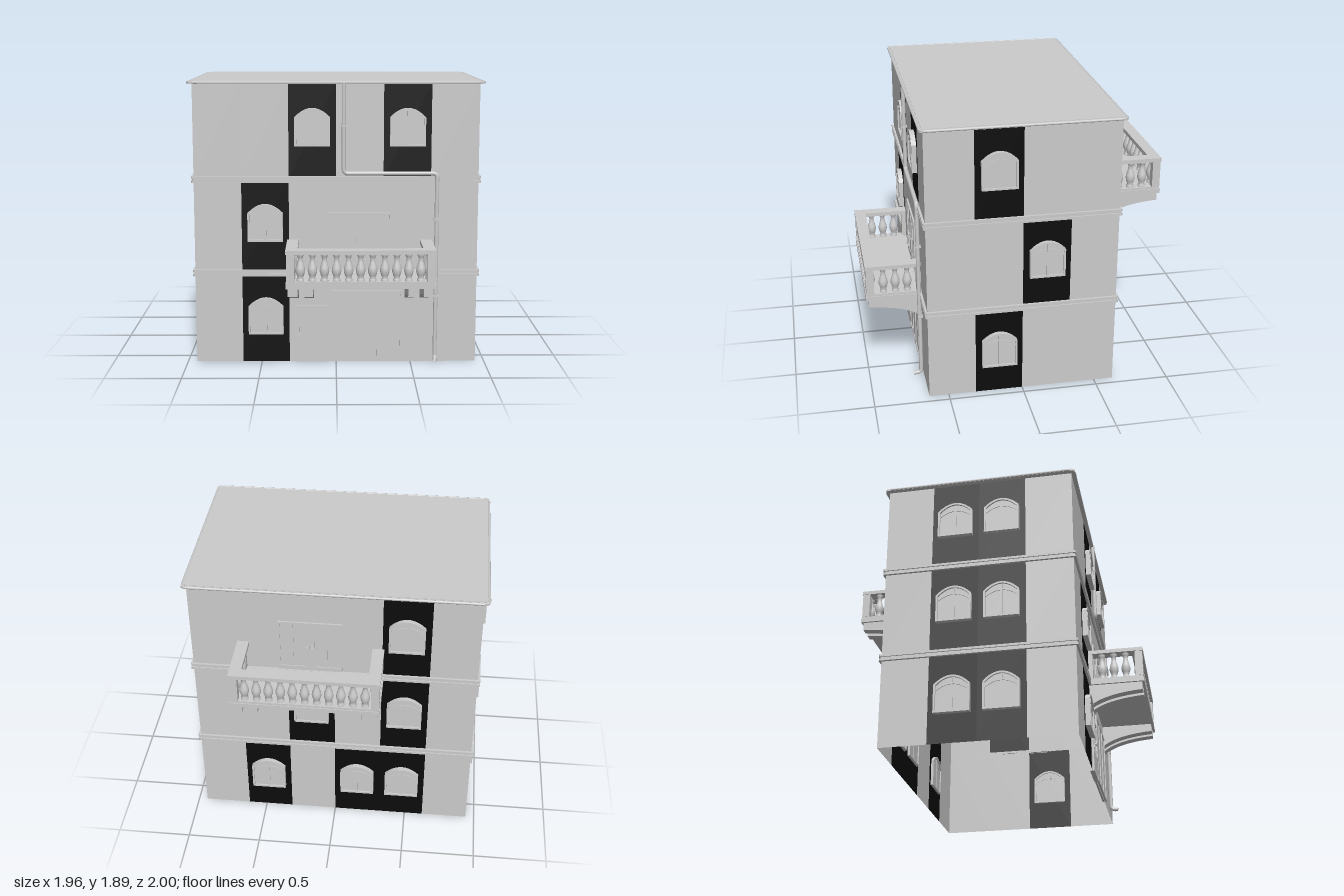
import * as THREE from 'three';

const grey = new THREE.MeshStandardMaterial({ color: 0xcccccc });
const greyWall = new THREE.MeshStandardMaterial({ color: 0xcccccc, side: THREE.DoubleSide });
const blackWall = new THREE.MeshStandardMaterial({ color: 0x0c0c0c, side: THREE.DoubleSide });

const W = 0.94, D = 0.63;                       // half width and half depth of the walls
const floors = [0, 0.615, 1.245, 1.88];         // storey boundaries

function add(parent, name, geometry, x = 0, y = 0, z = 0, material = grey) {
  const mesh = new THREE.Mesh(geometry, material);
  mesh.name = name;
  mesh.position.set(x, y, z);
  parent.add(mesh);
  return mesh;
}

function group(parent, name, x = 0, y = 0, z = 0) {
  const g = new THREE.Group();
  g.name = name;
  g.position.set(x, y, z);
  parent.add(g);
  return g;
}

const box = (w, h, d) => new THREE.BoxGeometry(w, h, d);
const extrude = (shape, depth, extra = {}) =>
  new THREE.ExtrudeGeometry(shape, { depth, bevelEnabled: false, curveSegments: 10, ...extra });

function rect(x0, y0, x1, y1, Type = THREE.Shape) {
  return new Type([[x0, y0], [x1, y0], [x1, y1], [x0, y1]].map(p => new THREE.Vector2(...p)));
}

function roundedRect(a, b, r) {
  const s = new THREE.Shape();
  s.absarc(a - r, b - r, r, 0, Math.PI / 2);
  s.absarc(r - a, b - r, r, Math.PI / 2, Math.PI);
  s.absarc(r - a, r - b, r, Math.PI, Math.PI * 1.5);
  s.absarc(a - r, r - b, r, Math.PI * 1.5, Math.PI * 2);
  s.closePath();
  return s;
}

// Arched window outline, shrunk by an inset
function arch(inset, Type = THREE.Shape) {
  const w = 0.117 - inset, h = 0.19 - inset * 0.6;
  const s = new Type();
  s.moveTo(-w, inset);
  s.lineTo(w, inset);
  s.lineTo(w, h);
  s.quadraticCurveTo(0, 0.31 - inset * 1.4, -w, h);
  s.closePath();
  return s;
}

function archedWindow(parent, x, y) {
  const g = group(parent, 'window', x, y, 0);
  const frame = arch(0);
  frame.holes.push(arch(0.013, THREE.Path));
  add(g, 'windowFrame', extrude(frame, 0.05), 0, 0, -0.018);
  add(g, 'windowGlass', extrude(arch(0.01), 0.03), 0, 0, -0.01);
  add(g, 'windowMullion', box(0.014, 0.22, 0.04), 0, 0.122, 0.006);
  // curved transom below the arch
  const t = new THREE.Shape();
  t.moveTo(-0.108, 0.145);
  t.quadraticCurveTo(0, 0.235, 0.108, 0.145);
  t.lineTo(0.108, 0.157);
  t.quadraticCurveTo(0, 0.247, -0.108, 0.157);
  add(g, 'windowTransom', extrude(t, 0.037), 0, 0, -0.012);
}

// Door leaf with recessed panes, each pane given as [x0, x1, y0, y1]
function door(parent, name, x, y, w, h, panes, handles) {
  const g = group(parent, name, x, y, 0);
  const leaf = rect(-w / 2, 0, w / 2, h);
  for (const [x0, x1, y0, y1] of panes) leaf.holes.push(rect(x0, y0, x1, y1, THREE.Path));
  add(g, 'doorFrame', extrude(leaf, 0.03), 0, 0, -0.018);
  add(g, 'doorPanes', box(w - 0.01, h - 0.01, 0.012), 0, h / 2, 0);
  for (const [hx, hy, dir] of handles) {
    add(g, 'doorHandle', box(0.03, 0.008, 0.008), hx + dir * 0.01, hy, 0.024);
    add(g, 'doorHandlePlate', box(0.012, 0.04, 0.008), hx, hy - 0.008, 0.014);
  }
}

function balconyDoor(parent, x, y) {
  const panes = [-0.155, -0.068, 0.068, 0.155].map(c => [c - 0.042, c + 0.042, 0.03, 0.365]);
  door(parent, 'balconyDoor', x, y, 0.42, 0.38, panes, [[-0.012, 0.19, -1], [0.012, 0.19, 1]]);
}

const balusterProfile = [[0.024, 0], [0.024, 0.014], [0.017, 0.022], [0.024, 0.04], [0.031, 0.065],
  [0.028, 0.09], [0.018, 0.122], [0.014, 0.145], [0.019, 0.16], [0.023, 0.168], [0.023, 0.18]];

function balcony(parent, x, y) {
  const g = group(parent, 'balcony', x, y, 0);
  const half = 0.48, depth = 0.37, rail = 0.077, mid = half - rail / 2;
  add(g, 'balconySlab', box(half * 2, 0.03, depth), 0, 0.605, depth / 2);
  add(g, 'balconySlabLip', box(half * 2 - 0.012, 0.016, depth - 0.006), 0, 0.627, depth / 2 - 0.003);
  add(g, 'frontHandrail', box(half * 2, 0.026, rail), 0, 0.827, depth - rail / 2);
  for (const s of [-1, 1]) {
    add(g, 'sideHandrail', box(rail, 0.026, depth - rail), s * mid, 0.827, (depth - rail) / 2);
    add(g, 'cornerPost', box(0.052, 0.18, 0.052), s * (half - 0.03), 0.725, depth - 0.03);
    add(g, 'wallPost', box(0.052, 0.18, 0.03), s * (half - 0.03), 0.725, 0.015);
  }
  // balusters along the front and both sides
  const baluster = new THREE.LatheGeometry(balusterProfile.map(p => new THREE.Vector2(...p)), 16);
  for (let i = -5; i <= 5; i++) add(g, 'baluster', baluster, i * 0.077, 0.635, depth - rail / 2);
  for (const s of [-1, 1])
    for (const z of [0.07, 0.15, 0.23]) add(g, 'baluster', baluster, s * mid, 0.635, z + 0.02);
  // paired curved corbels
  const c = new THREE.Shape();
  c.moveTo(0, 0.59);
  c.lineTo(0, 0.44);
  c.quadraticCurveTo(0.1, 0.52, 0.355, 0.535);
  c.lineTo(0.355, 0.59);
  c.closePath();
  for (const cx of [-0.435, -0.335, 0.335, 0.435]) {
    add(g, 'corbel', extrude(c, 0.062), cx + 0.031, 0, 0).rotation.y = -Math.PI / 2;
  }
}

// One outer wall: storeys split into modules, the dark ones carrying a window
function wall(parent, name, half, dist, angle, modules, darkByFloor) {
  const g = group(parent, name, Math.sin(angle) * dist, 0, Math.cos(angle) * dist);
  g.rotation.y = angle;
  const w = half * 2 / modules;
  darkByFloor.forEach((dark, f) => {
    const h = floors[f + 1] - floors[f];
    for (let i = 0; i < modules; i++) {
      const x = -half + (i + 0.5) * w, isDark = dark.includes(i);
      add(g, isDark ? 'darkPanel' : 'wallPanel', new THREE.PlaneGeometry(w, h),
        x, floors[f] + h / 2, 0, isDark ? blackWall : greyWall);
      if (isDark) archedWindow(g, x, 0.195 + f * 0.635);
    }
  });
  return g;
}

// Horizontal ring or slab lying at height y
function ring(parent, name, a, b, r, y, h, hollow) {
  const s = roundedRect(a, b, r);
  if (hollow) s.holes.push(rect(-W, -D, W, D, THREE.Path));
  add(parent, name, extrude(s, h), 0, y, 0).rotation.x = -Math.PI / 2;
}

function drainpipe(parent) {
  const g = group(parent, 'drainpipe');
  const z = 0.65, r = 0.03;
  const corners = [[0.05, 1.88, z], [0.05, 1.285, z], [0.665, 1.285, z], [0.665, 0.025, z], [0.665, 0.025, 0.7]]
    .map(p => new THREE.Vector3(...p));
  // straight runs joined by rounded elbows
  const path = new THREE.CurvePath();
  let from = corners[0];
  for (let i = 1; i < corners.length; i++) {
    const p = corners[i], next = corners[i + 1];
    if (!next) { path.add(new THREE.LineCurve3(from, p)); break; }
    const a = p.clone().add(from.clone().sub(p).setLength(r));
    const b = p.clone().add(next.clone().sub(p).setLength(r));
    path.add(new THREE.LineCurve3(from, a));
    path.add(new THREE.QuadraticBezierCurve3(a, p, b));
    from = b;
  }
  add(g, 'pipe', new THREE.TubeGeometry(path, 240, 0.014, 10), 0, 0, 0, greyWall);
  for (const [x, y] of [[0.05, 1.6], [0.665, 0.98], [0.665, 0.46]])
    add(g, 'pipeBracket', box(0.036, 0.01, 0.035), x, y, z - 0.003);
}

export function createModel() {
  const model = new THREE.Group();
  model.name = 'apartmentBuilding';

  const front = wall(model, 'frontWall', W, D, 0, 6, [[1], [1], [2, 4]]);
  const back = wall(model, 'backWall', W, D, Math.PI, 6, [[1, 3, 4], [2, 4], [4]]);
  wall(model, 'leftWall', D, W, Math.PI / 2, 4, [[1], [2], [1]]);
  wall(model, 'rightWall', D, W, -Math.PI / 2, 4, [[1, 2], [1, 2], [1, 2]]);

  // balconies with their doors
  balcony(front, 0.155, 0);
  balconyDoor(front, 0.155, 0.64);
  balcony(back, -0.155, 0.63);
  balconyDoor(back, -0.155, 1.27);

  // ground floor entrances
  door(front, 'entranceDoor', -0.16, 0, 0.22, 0.39,
    [[-0.085, -0.008, 0.15, 0.375], [0.012, 0.085, 0.15, 0.375]], [[-0.095, 0.19, 1]]);
  door(front, 'slidingDoor', 0.205, 0.015, 0.47, 0.475,
    [-0.155, 0, 0.155].map(c => [c - 0.07, c + 0.07, 0.015, 0.455]), []);

  // storey mouldings
  for (const y of [0.592, 1.222]) {
    ring(model, 'lowerMoulding', W + 0.016, D + 0.016, 0.012, y, 0.016, true);
    ring(model, 'middleMoulding', W + 0.008, D + 0.008, 0.006, y + 0.016, 0.012, true);
    ring(model, 'upperMoulding', W + 0.016, D + 0.016, 0.012, y + 0.028, 0.016, true);
  }

  // roof slab with a thin rounded gutter edge
  ring(model, 'roofSlab', 0.972, 0.655, 0.025, 1.872, 0.014, false);
  ring(model, 'roofTop', 0.95, 0.636, 0.012, 1.886, 0.003, false);
  const edge = new THREE.CatmullRomCurve3(
    roundedRect(0.967, 0.65, 0.025).getSpacedPoints(160).map(p => new THREE.Vector3(p.x, 1.88, p.y)), true);
  add(model, 'roofGutter', new THREE.TubeGeometry(edge, 200, 0.009, 8, true), 0, 0, 0, greyWall);

  drainpipe(model);
  return model;
}
